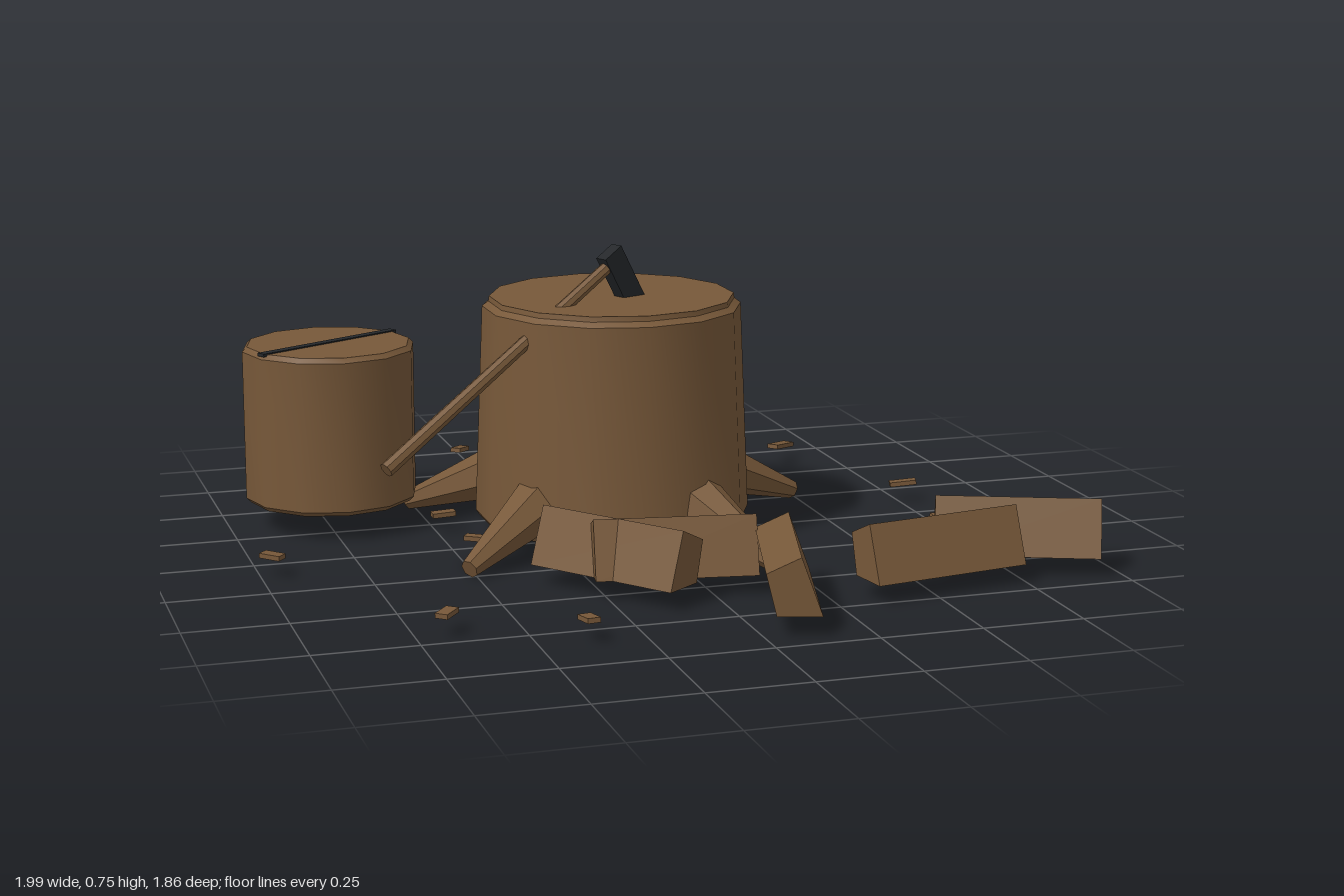
import * as THREE from 'three';
import { toCreasedNormals } from 'three/addons/utils/BufferGeometryUtils.js';

export function createModel() {
  const model = new THREE.Group();
  const wood = new THREE.MeshStandardMaterial({ color: 0x775839 });
  wood.name = 'wood';
  const iron = new THREE.MeshStandardMaterial({ color: 0x24272a });
  iron.name = 'darkIron';

  const add = (name, geometry, material, x = 0, y = 0, z = 0, parent = model) => {
    const mesh = new THREE.Mesh(geometry, material);
    mesh.name = name;
    mesh.position.set(x, y, z);
    parent.add(mesh);
    return mesh;
  };
  const turned = (profile, sides) => toCreasedNormals(
    new THREE.LatheGeometry(profile.map(([r, y]) => new THREE.Vector2(r, y)), sides), 0.6);
  const faceted = (geometry) => toCreasedNormals(geometry, 0.1);

  // Large chopping stump with a narrow rim
  const cx = -0.06, cz = -0.08;
  add('choppingStump', turned([
    [0, 0.05], [0.34, 0.05], [0.35, 0.065], [0.328, 0.595], [0.312, 0.607], [0.31, 0.62], [0, 0.62],
  ], 14), wood, cx, 0, cz);

  // Tapered roots spreading from the stump
  const up = new THREE.Vector3(0, 1, 0);
  const tips = [[0.1, -0.63], [0.49, -0.24], [0.205, 0.43], [-0.52, 0.26], [-0.52, -0.43]];
  for (const [x, z] of tips) {
    const tip = new THREE.Vector3(x, 0.03, z);
    const base = new THREE.Vector3(cx + (x - cx) * 0.42, 0.16, cz + (z - cz) * 0.42);
    const axis = tip.clone().sub(base);
    const root = add('root', faceted(new THREE.CylinderGeometry(0.024, 0.084, axis.length(), 7)), wood);
    root.position.copy(base).add(tip).multiplyScalar(0.5);
    root.quaternion.setFromUnitVectors(up, axis.normalize());
  }

  // Small round log with a dark split across its top
  add('smallLog', turned([
    [0, 0.075], [0.21, 0.075], [0.222, 0.087], [0.222, 0.47], [0.21, 0.482], [0, 0.482],
  ], 12), wood, -0.735, 0, -0.36);
  add('logSplit', new THREE.BoxGeometry(0.44, 0.008, 0.025), iron, -0.735, 0.481, -0.36).rotation.y = 0.51;

  // Axe stuck in the stump, handle slanting down to the front right
  const axe = new THREE.Group();
  axe.name = 'axe';
  axe.position.set(-0.07, 0.712, -0.03);
  axe.rotation.set(0, 0.43, 0.53, 'YXZ');
  model.add(axe);
  add('axeHandle', faceted(new THREE.CylinderGeometry(0.016, 0.019, 0.84, 8)), wood, -0.41, 0, 0, axe)
    .rotation.z = -Math.PI / 2;
  add('axeHead', new THREE.BoxGeometry(0.06, 0.19, 0.036), iron, 0, -0.065, 0, axe);

  // Split firewood: uneven four-sided billets
  const section = new THREE.Shape([[-0.065, 0], [0.04, 0], [0.065, 0.1], [-0.015, 0.138]]
    .map(([x, y]) => new THREE.Vector2(x, y)));
  const billets = [ // centre x, z, direction x, z, length
    [0.53, 0.67, 0.41, -0.07, 0.41],
    [0.775, 0.575, 0.37, 0.15, 0.4],
    [0.12, 0.745, 0.11, -0.39, 0.4],
    [-0.215, 0.475, 0.25, 0.33, 0.41],
    [-0.08, 0.505, 0.38, 0.06, 0.39],
  ];
  for (const [x, z, dx, dz, length] of billets) {
    const geometry = new THREE.ExtrudeGeometry(section, { depth: length, bevelEnabled: false });
    geometry.translate(0, 0, -length / 2);
    add('firewood', geometry, wood, x, 0.055, z).rotation.y = Math.atan2(dx, dz);
  }

  // Scattered wood chips: x, z, turn, length
  const chips = [
    [-0.28, -0.84, 0.9, 0.06], [0.105, -0.87, -0.65, 0.08], [0.18, -0.735, -0.65, 0.07],
    [0.435, -0.71, 0.3, 0.08], [0.415, -0.62, 0, 0.08], [0.595, -0.62, 0.7, 0.09],
    [0.32, -0.51, -1.4, 0.08], [-0.045, -0.54, -0.75, 0.07], [-0.485, -0.165, 0, 0.06],
    [0.76, -0.12, -0.25, 0.07], [0.72, 0.24, -0.1, 0.055], [-0.97, 0.1, -0.7, 0.055],
    [-0.455, 0.09, -0.6, 0.07], [-0.675, 0.685, 0.85, 0.055], [-0.38, 0.82, -1.45, 0.06],
    [-0.055, 0.42, -0.2, 0.05], [-0.16, 0.41, 0.5, 0.06],
  ];
  chips.forEach(([x, z, turn, length], i) => {
    const chip = add('woodChip', new THREE.BoxGeometry(length, 0.012, i % 3 ? 0.032 : 0.028), wood, x, 0.058, z);
    chip.rotation.set(0, turn, ((i % 5) - 2) * 0.05);
  });

  return model;
}
